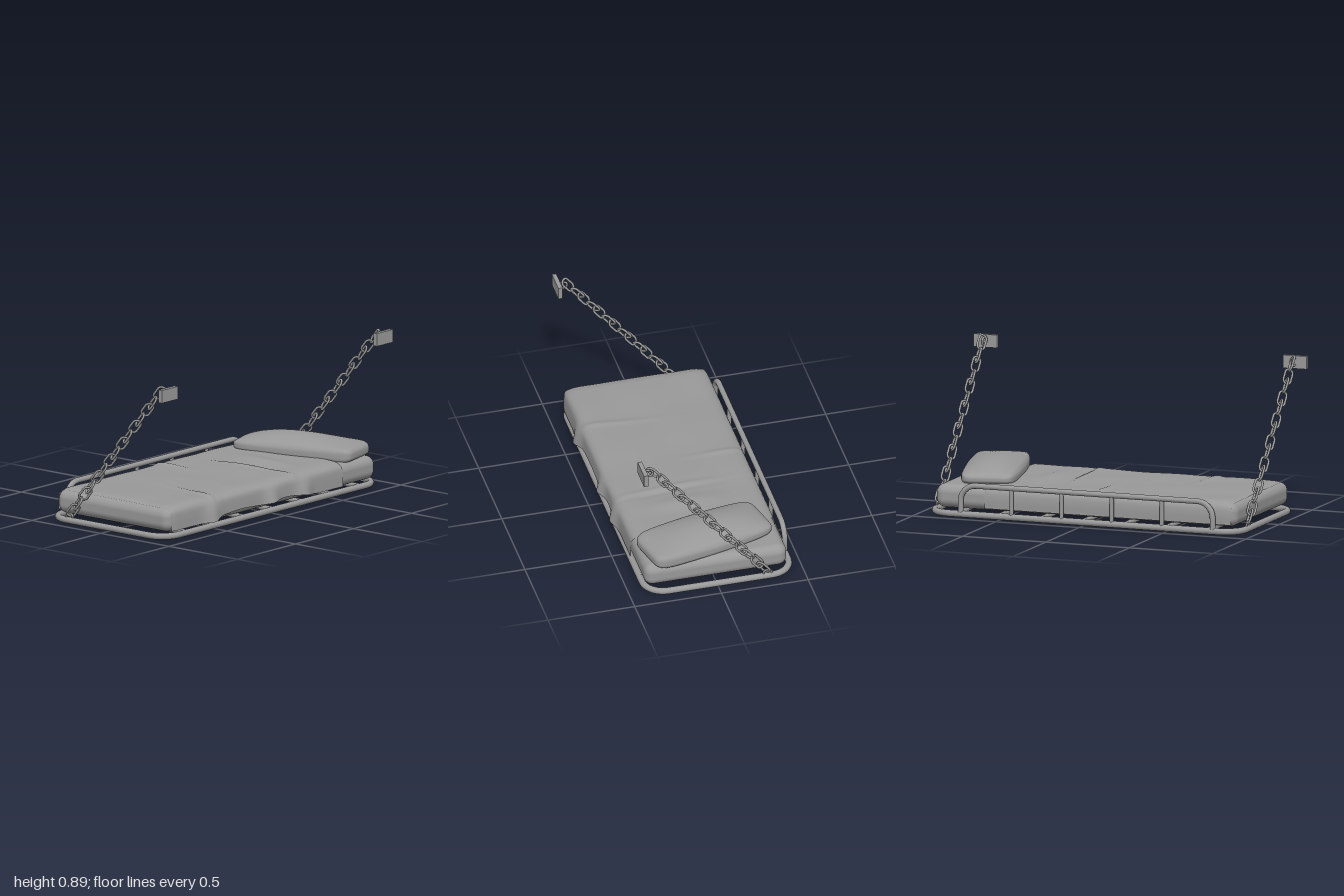
import * as THREE from 'three';
import { mergeVertices } from 'three/addons/utils/BufferGeometryUtils.js';
import { RoundedBoxGeometry } from 'three/addons/geometries/RoundedBoxGeometry.js';

const grey = new THREE.MeshStandardMaterial({ color: 0x999999 });
const cloth = new THREE.MeshStandardMaterial({ color: 0x999999, side: THREE.DoubleSide });
const V = (x, y, z) => new THREE.Vector3(x, y, z);
const { smoothstep, clamp } = THREE.MathUtils;

function add(parent, name, geometry, material = grey) {
  const mesh = new THREE.Mesh(geometry, material);
  mesh.name = name;
  parent.add(mesh);
  return mesh;
}

function tube(points, radius, segments, sides, closed = false) {
  const curve = new THREE.CatmullRomCurve3(points, closed, 'centripetal');
  curve.arcLengthDivisions = 600;
  return new THREE.TubeGeometry(curve, segments, radius, sides, closed);
}

// Points of a rounded rectangle; corners counts the quarter turns, from +a +b onwards.
// Each turn has a short straight lead at both ends, so the sides stay straight.
function roundedLoop(halfA, halfB, r, place, corners = 4) {
  const points = [];
  for (let c = 0; c < corners; c++) {
    const ca = (c === 0 || c === 3 ? 1 : -1) * (halfA - r);
    const cb = (c < 2 ? 1 : -1) * (halfB - r);
    for (let i = -1; i <= 7; i++) {
      const t = (c + clamp(i, 0, 6) / 6) * Math.PI / 2;
      const cos = Math.cos(t), sin = Math.sin(t);
      const room = 0.4 * (Math.abs(sin) * (halfA - r) + Math.abs(cos) * (halfB - r));
      const lead = (i < 0 ? -1 : i > 6 ? 1 : 0) * Math.min(0.26 * r, room);
      points.push(place(ca + r * cos - lead * sin, cb + r * sin + lead * cos));
    }
  }
  return points.filter((p, i) => i === 0 || p.distanceTo(points[i - 1]) > 2e-4);
}

function rod(parent, name, from, to, radius) {
  const dir = to.clone().sub(from);
  const mesh = add(parent, name, new THREE.CylinderGeometry(radius, radius, dir.length(), 12));
  mesh.position.copy(from).add(to).multiplyScalar(0.5);
  mesh.quaternion.setFromUnitVectors(V(0, 1, 0), dir.normalize());
}

// Draped sheet: a cross-section over the mattress swept along x, with folds
function blanketGeometry() {
  const nx = 130, ns = 64, pos = [], index = [];
  const bump = (x, c, w) => Math.exp(-(((x - c) / w) ** 2));
  for (let i = 0; i <= nx; i++) {
    const x = -0.876 + 1.476 * i / nx;
    const middle = smoothstep(x, -0.54, -0.42) * (1 - smoothstep(x, 0.22, 0.4));
    const hem = 0.05 + 0.022 * middle + 0.004 * Math.sin(x * 17) * middle;
    const flare = 0.03 * (bump(x, -0.53, 0.06) + bump(x, -0.02, 0.06) + bump(x, 0.26, 0.06));
    const section = new THREE.CatmullRomCurve3([
      V(0, 0.055, -0.416), V(0, 0.12, -0.416), V(0, 0.16, -0.406), V(0, 0.179, -0.37),
      V(0, 0.184, -0.2), V(0, 0.186, 0), V(0, 0.184, 0.2), V(0, 0.179, 0.37),
      V(0, 0.16, 0.406), V(0, 0.12, 0.414 + flare * 0.5), V(0, hem, 0.417 + flare),
    ]);
    const foot = bump(x, -0.876, 0.025);
    for (let j = 0; j <= ns; j++) {
      const p = section.getPointAt(j / ns), z = p.z;
      const top = smoothstep(p.y, 0.15, 0.18);
      const fold = 0.008 * bump(x, 0.19 + 0.06 * z, 0.018) * bump(z, 0.1, 0.25)
        - 0.005 * bump(x, 0.225 + 0.06 * z, 0.02) * bump(z, 0.1, 0.25)
        + 0.007 * bump(x, -0.46 - 0.09 * z, 0.02) * bump(z, 0.3, 0.25)
        + 0.007 * bump(x, -0.06, 0.018) * bump(z, -0.3, 0.18)
        + 0.014 * bump(x, 0.35, 0.06) * bump(z, 0.05, 0.2)
        + 0.003 * Math.sin(x * 11 + z * 6) * Math.cos(z * 9 - x * 4);
      pos.push(x, p.y + (fold * (1 - foot) - 0.01 * foot) * top, z * (1 - 0.012 * foot));
    }
  }
  const row = ns + 1;
  for (let i = 0; i < nx; i++) for (let j = 0; j < ns; j++) {
    const a = i * row + j, b = a + row;
    index.push(a, a + 1, b, b, a + 1, b + 1);
  }
  const g = new THREE.BufferGeometry();
  g.setAttribute('position', new THREE.Float32BufferAttribute(pos, 3));
  g.setIndex(index);
  g.computeVertexNormals();
  return g;
}

// Pillow: a box rounded to a superellipsoid, puffed on top and thicker at its front end
function pillowGeometry() {
  let g = new THREE.BoxGeometry(2, 2, 2, 28, 12, 44);
  const p = g.attributes.position, k = 8;
  for (let i = 0; i < p.count; i++) {
    const v = V(p.getX(i), p.getY(i), p.getZ(i));
    const a = v.toArray().map(Math.abs);
    const norm = (a[0] ** k + a[1] ** 4 + a[2] ** k) ** (1 / k);
    v.multiplyScalar(Math.max(...a) / Math.max(norm, 1e-6));
    const dome = Math.max(0, 1 - v.x * v.x) * Math.max(0, 1 - v.z * v.z);
    const puff = v.y > 0 ? v.y * (0.047 * dome * (1 - 0.35 * v.z) + 0.008 * v.z) : 0;
    const sag = v.y < 0 ? 0.006 * v.y * v.z : 0;
    p.setXYZ(i, v.x * (0.15 + 0.016 * (1 - v.z * v.z)), 0.203 + 0.035 * v.y + puff + sag, v.z * 0.37);
  }
  g.deleteAttribute('uv');
  g.deleteAttribute('normal');
  g = mergeVertices(g, 1e-5);
  g.computeVertexNormals();
  return g;
}

export function createModel() {
  const bunk = new THREE.Group();
  bunk.name = 'hangingBunk';

  // Tubular base frame and cross slats
  const frame = new THREE.Group();
  frame.name = 'frame';
  bunk.add(frame);
  add(frame, 'baseFrame', tube(roundedLoop(0.926, 0.421, 0.12, (a, b) => V(a, 0.02, -0.014 - b)), 0.019, 220, 12, true));
  for (let i = -3; i <= 3; i++) rod(frame, 'slat', V(i * 0.25, 0.025, -0.435), V(i * 0.25, 0.025, 0.407), 0.015);

  // Back guard rail with posts
  const arch = roundedLoop(0.755, 0.13, 0.09, (a, b) => V(a - 0.02, 0.054 + b, -0.436), 2);
  add(frame, 'guardRail', tube([V(0.735, 0.02, -0.436), ...arch, V(-0.775, 0.02, -0.436)], 0.016, 120, 12));
  for (let i = 0; i < 4; i++) {
    const x = -0.47 + i * 0.3;
    rod(frame, 'railPost', V(x, 0.02, -0.436), V(x, 0.184, -0.436), 0.012);
  }

  // Bedding
  add(bunk, 'mattress', new RoundedBoxGeometry(1.805, 0.133, 0.82, 6, 0.05)).position.y = 0.108;
  add(bunk, 'blanket', blanketGeometry(), cloth);
  const pillow = add(bunk, 'pillow', pillowGeometry());
  pillow.position.set(0.706, 0, 0.021);
  pillow.rotation.y = 0.238;

  // Chains, wall plates and staples on both ends
  const linkCount = 15;
  const linkGeometry = tube(roundedLoop(0.0235, 0.045, 0.0232, (a, b) => V(a, b, 0)), 0.0068, 36, 8, true);
  const top = V(0, 0.868, 0.39), bottom = V(0, 0.05, -0.288);
  const along = top.clone().sub(bottom);
  const tilt = new THREE.Quaternion().setFromUnitVectors(V(0, 1, 0), along.clone().normalize());
  for (const side of [1, -1]) {
    const chain = new THREE.Group();
    chain.name = side > 0 ? 'leftChain' : 'rightChain';
    chain.position.x = side * 0.928;
    bunk.add(chain);
    for (let i = 0; i < linkCount; i++) {
      const turn = i % 2 ? 1 : -1;
      const link = add(chain, 'chainLink', linkGeometry);
      link.position.copy(bottom).addScaledVector(along, (i + 0.5 - 0.1 * turn) / linkCount);
      const roll = new THREE.Quaternion().setFromAxisAngle(V(0, 1, 0), Math.PI / 2 + side * turn * 0.72);
      link.quaternion.copy(tilt).multiply(roll);
    }
    add(chain, 'wallPlate', new THREE.BoxGeometry(0.14, 0.073, 0.025)).position.set(0, 0.846, 0.433);
    add(chain, 'plateHook', tube([V(0, 0.867, 0.425), V(0, 0.867, 0.395), V(0, 0.862, 0.382), V(0, 0.848, 0.377),
      V(0, 0.834, 0.382), V(0, 0.829, 0.395), V(0, 0.829, 0.425)], 0.0065, 30, 8));
    add(chain, 'frameStaple', tube([V(0, 0.03, -0.262), V(0, 0.05, -0.264), V(0, 0.057, -0.272),
      V(0, 0.057, -0.298), V(0, 0.05, -0.306), V(0, 0.03, -0.308)], 0.006, 24, 8));
  }
  return bunk;
}
